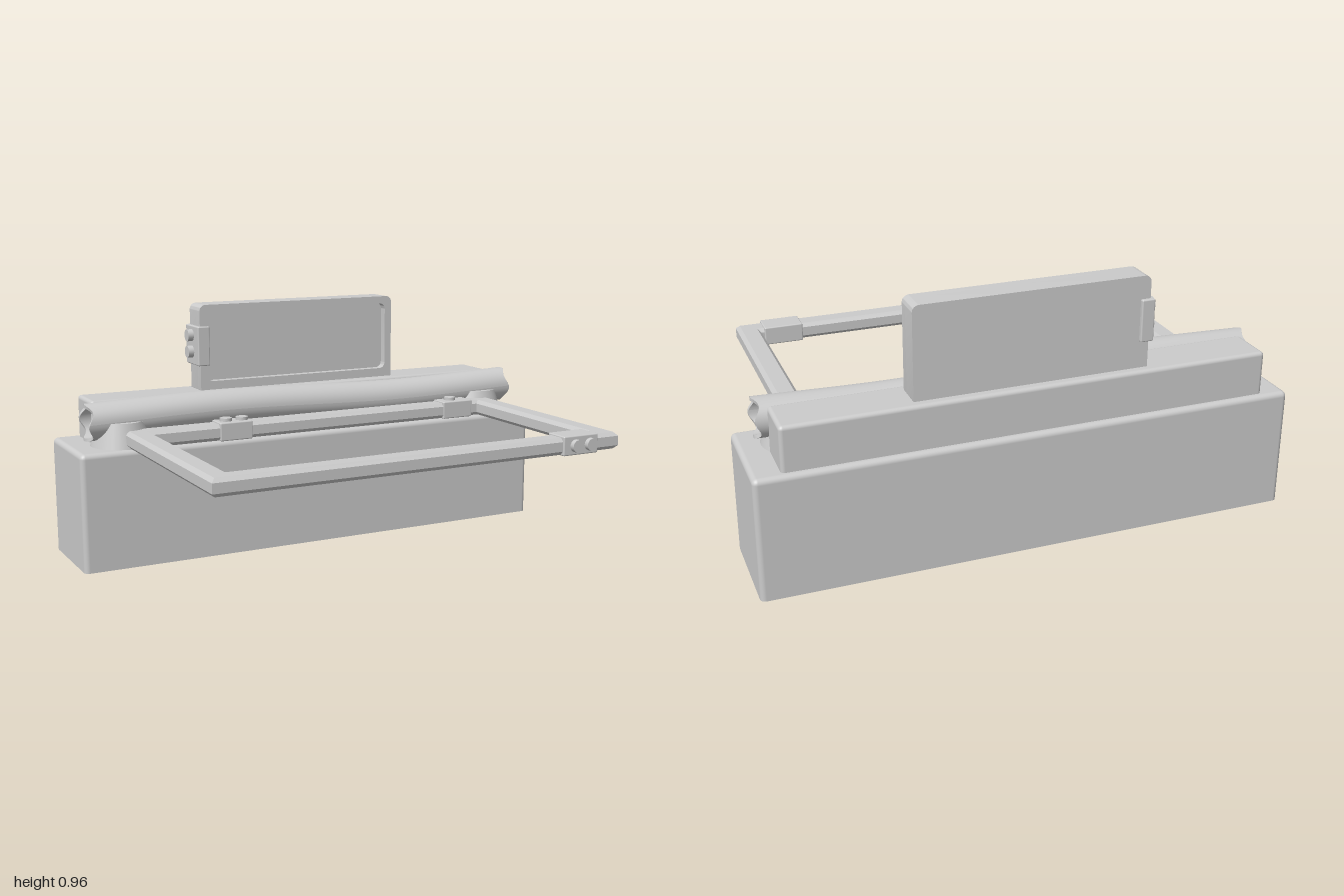
import * as THREE from 'three';
import { toCreasedNormals } from 'three/addons/utils/BufferGeometryUtils.js';
import { RoundedBoxGeometry } from 'three/addons/geometries/RoundedBoxGeometry.js';

const grey = new THREE.MeshStandardMaterial({ color: 0xcccccc });
const thin = new THREE.MeshStandardMaterial({ color: 0xcccccc, side: THREE.DoubleSide });

export function createModel() {
  const model = new THREE.Group();

  function add(parent, name, geometry, x = 0, y = 0, z = 0, material = grey) {
    const mesh = new THREE.Mesh(geometry, material);
    mesh.name = name;
    mesh.position.set(x, y, z);
    parent.add(mesh);
    return mesh;
  }

  // Rounded box given by its lower and upper limits
  function block(parent, name, a, b, r) {
    const s = b.map((v, i) => v - a[i]);
    const c = b.map((v, i) => (v + a[i]) / 2);
    return add(parent, name, new RoundedBoxGeometry(...s, 3, r), ...c);
  }

  // Rectangle outline with rounded corners
  function roundRect(Type, x0, y0, x1, y1, r) {
    const p = new Type();
    p.moveTo(x0 + r, y0);
    p.lineTo(x1 - r, y0);
    p.absarc(x1 - r, y0 + r, r, -Math.PI / 2, 0);
    p.lineTo(x1, y1 - r);
    p.absarc(x1 - r, y1 - r, r, 0, Math.PI / 2);
    p.lineTo(x0 + r, y1);
    p.absarc(x0 + r, y1 - r, r, Math.PI / 2, Math.PI);
    p.lineTo(x0, y0 + r);
    p.absarc(x0 + r, y0 + r, r, Math.PI, Math.PI * 1.5);
    return p;
  }

  function extrude(shape, depth, bevel = 0) {
    const geometry = new THREE.ExtrudeGeometry(shape, {
      depth, curveSegments: 6, bevelEnabled: bevel > 0,
      bevelSize: bevel, bevelThickness: bevel, bevelOffset: -bevel, bevelSegments: 1,
    });
    return toCreasedNormals(geometry, 0.6);
  }

  // Base shell: rounded above, cut off flat and open at the ground
  const R = 0.02, H = 0.455;
  const shell = new RoundedBoxGeometry(2, H + R, 0.39, 3, R).toNonIndexed();
  shell.translate(0, (H - R) / 2, 0);
  const pos = shell.attributes.position;
  const kept = [];
  for (let i = 0; i < pos.count; i += 3) {
    if (Math.max(pos.getY(i), pos.getY(i + 1), pos.getY(i + 2)) > 0.001) kept.push(i, i + 1, i + 2);
  }
  for (let i = 0; i < pos.count; i++) pos.setY(i, Math.max(0, pos.getY(i)));
  shell.setIndex(kept);
  add(model, 'base', shell, 0, 0, -0.43, thin);

  block(model, 'rearStep', [-0.9, 0.44, -0.602], [0.9, 0.62, -0.42], 0.015);

  // Upright case with a recessed front
  const upright = new THREE.Group();
  upright.name = 'uprightCase';
  model.add(upright);
  const outline = () => roundRect(THREE.Shape, -0.435, 0.6, 0.435, 0.962, 0.025);
  add(upright, 'caseBack', extrude(outline(), 0.075), 0, 0, -0.568);
  const rim = outline();
  rim.holes.push(roundRect(THREE.Path, -0.405, 0.655, 0.405, 0.932, 0.025));
  add(upright, 'caseRim', extrude(rim, 0.033), 0, 0, -0.493);

  // Round stud whose axis is x, y or z
  function stud(parent, x, y, z, axis, length = 0.04) {
    const geometry = new THREE.CylinderGeometry(0.024, 0.024, length, 20);
    if (axis === 'x') geometry.rotateZ(Math.PI / 2);
    if (axis === 'z') geometry.rotateX(Math.PI / 2);
    add(parent, 'stud', geometry, x, y, z);
  }

  const latch = new THREE.Group();
  latch.name = 'caseLatch';
  model.add(latch);
  block(latch, 'latchPlate', [-0.448, 0.72, -0.582], [-0.398, 0.877, -0.448], 0.005);
  for (const y of [0.772, 0.838]) stud(latch, -0.45, y, -0.518, 'x');

  // Roll: slightly bowed hollow tube with scalloped ends
  function rollSurface(radius, x0, x1, rows, endDepth) {
    const sides = 48, v = [], index = [];
    for (let i = 0; i <= rows; i++) {
      const x = x0 + (x1 - x0) * i / rows;
      for (let j = 0; j <= sides; j++) {
        const a = j / sides * Math.PI * 2;
        const scallop = Math.abs(x) > 0.92 ? endDepth * (1 - Math.cos(4 * a + 0.6)) / 2 : 0;
        v.push(x - Math.sign(x) * scallop,
          0.555 - 0.009 * Math.sin(4 * x) + radius * Math.sin(a), -0.37 + radius * Math.cos(a));
        if (i < rows && j < sides) {
          const p = i * (sides + 1) + j, q = p + sides + 1;
          index.push(p, p + 1, q, p + 1, q + 1, q);
        }
      }
    }
    const geometry = new THREE.BufferGeometry();
    geometry.setAttribute('position', new THREE.Float32BufferAttribute(v, 3));
    geometry.setIndex(index);
    geometry.computeVertexNormals();
    return geometry;
  }
  const roll = new THREE.Group();
  roll.name = 'roll';
  model.add(roll);
  add(roll, 'rollOuter', rollSurface(0.072, -0.943, 0.943, 40, 0.02), 0, 0, 0, thin);
  add(roll, 'rollInner', rollSurface(0.06, -0.943, 0.943, 40, 0.02), 0, 0, 0, thin);
  for (const s of [-1, 1]) {
    // Lip joining the two walls, and the core end set inside
    const lip = rollSurface(0.06, s * 0.943, s * 0.9431, 1, 0.02);
    const p = lip.attributes.position;
    for (let i = p.count / 2; i < p.count; i++) {
      p.setY(i, 0.555 - 0.009 * Math.sin(4 * s * 0.943) + (p.getY(i) - 0.555 + 0.009 * Math.sin(4 * s * 0.943)) * 1.2);
      p.setZ(i, -0.37 + (p.getZ(i) + 0.37) * 1.2);
    }
    lip.computeVertexNormals();
    add(roll, 'rollLip', lip, 0, 0, 0, thin);
    const core = new THREE.CylinderGeometry(0.06, 0.06, 0.01, 32).rotateZ(Math.PI / 2);
    add(roll, 'rollCore', core, s * 0.87, 0.557, -0.37);
    // Tapered foot under each end
    add(model, 'foot', new THREE.CylinderGeometry(0.095, 0.12, 0.1, 32), s * 0.8, 0.5, -0.37);
  }

  // Flat rectangular frame reaching forward
  const bars = new THREE.Shape([
    [-0.815, -0.6], [0.815, -0.6], [0.815, 0.31], [-0.815, 0.31],
  ].map(([x, y]) => new THREE.Vector2(x, y)));
  bars.holes.push(new THREE.Path([
    [-0.727, -0.515], [-0.727, 0.227], [0.727, 0.227], [0.727, -0.515],
  ].map(([x, y]) => new THREE.Vector2(x, y))));
  const frameGeometry = extrude(bars, 0.036, 0.014).rotateX(-Math.PI / 2);
  add(model, 'frame', frameGeometry, 0, 0.472, 0);

  // Clips on the frame
  const clips = new THREE.Group();
  clips.name = 'frameClips';
  model.add(clips);
  block(clips, 'frontClip', [0.56, 0.455, 0.508], [0.715, 0.528, 0.606], 0.005);
  for (const x of [0.613, 0.678]) stud(clips, x, 0.491, 0.605, 'z');
  block(clips, 'rearClip', [-0.45, 0.456, -0.315], [-0.315, 0.528, -0.224], 0.005);
  for (const x of [-0.41, -0.343]) stud(clips, x, 0.52, -0.268, 'y');
  block(clips, 'rearClip', [0.56, 0.456, -0.315], [0.7, 0.528, -0.224], 0.005);
  stud(clips, 0.615, 0.52, -0.268, 'y');

  return model;
}
